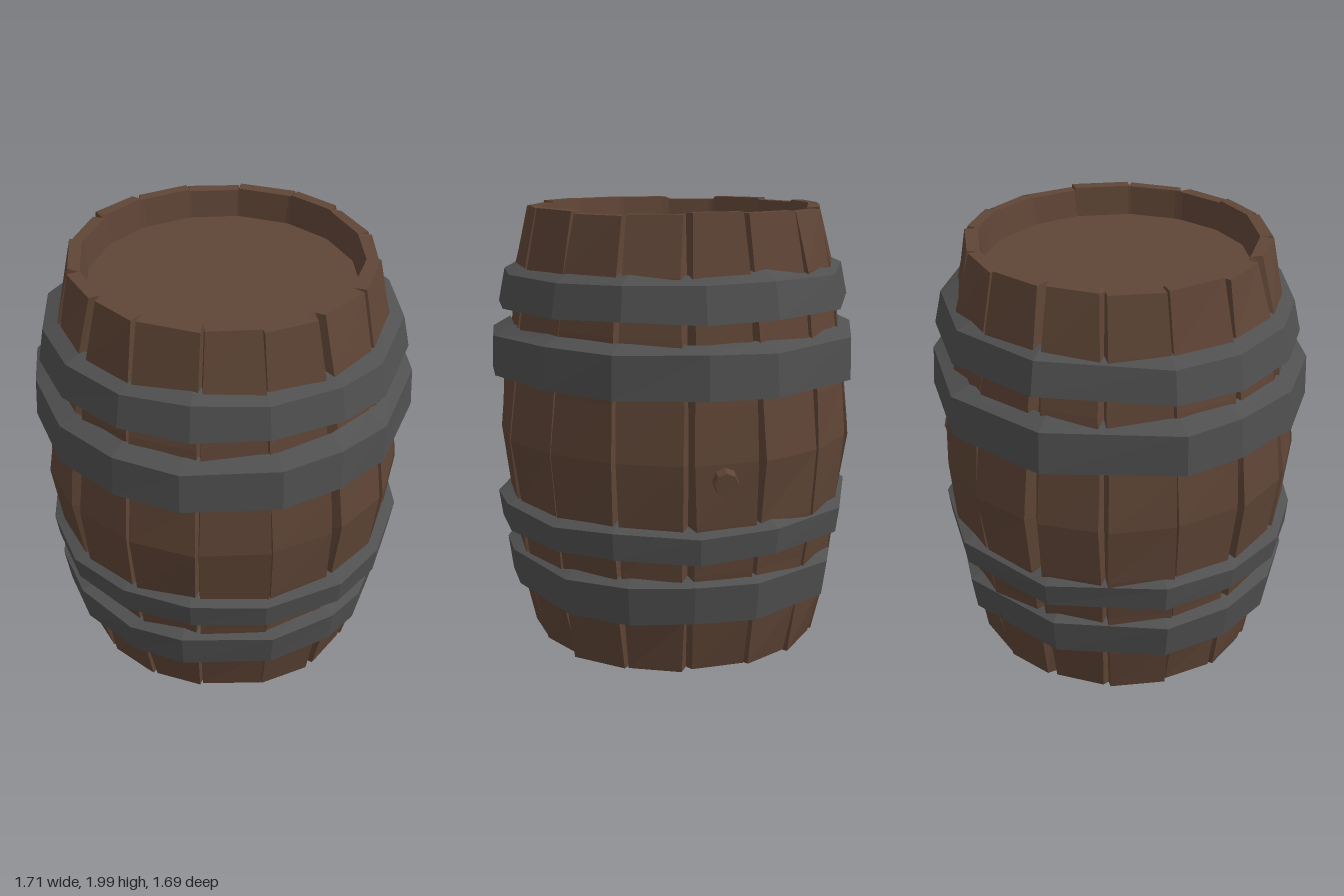
import * as THREE from 'three';

// Seeded noise in the range -1..1
let seed = 11;
const jitter = () => {
  seed = (seed * 16807) % 2147483647;
  return (seed / 2147483647) * 2 - 1;
};

const point = (angle, r, y) => [Math.sin(angle) * r, y, Math.cos(angle) * r];

// Skin a list of closed rings with flat facets
function loft(rings) {
  const n = rings[0].length;
  const index = [];
  for (let i = 0; i < rings.length - 1; i++) {
    for (let j = 0; j < n; j++) {
      const k = (j + 1) % n;
      const a = i * n + j, b = i * n + k, c = a + n, d = b + n;
      index.push(a, b, d, a, d, c);
    }
  }
  const g = new THREE.BufferGeometry();
  g.setAttribute('position', new THREE.Float32BufferAttribute(rings.flat(2), 3));
  g.setIndex(index);
  const flat = g.toNonIndexed();
  flat.computeVertexNormals();
  return flat;
}

// Staves: one bulging shell with a V-shaped groove between neighbouring boards
function staveGeometry() {
  const count = 16;
  const step = (Math.PI * 2) / count;
  const profile = [
    // radius, height, groove depth
    [0.595, 0.17, 0], [0.605, 0.015, 0],
    [0.67, 0.012, 0.03], [0.722, 0.25, 0.04], [0.752, 0.48, 0.04], [0.785, 0.7, 0.04],
    [0.815, 0.98, 0.045], [0.79, 1.22, 0.04], [0.757, 1.5, 0.04], [0.722, 1.74, 0.04],
    [0.665, 1.99, 0.045],
    [0.61, 1.99, 0], [0.59, 1.85, 0],
  ];
  const joints = Array.from({ length: count }, (_, k) => ({
    gap: k % 4 === 0 ? 0.032 : 0.016 + 0.012 * jitter(),
    lean: 0.03 * jitter(),
  }));
  const lift = joints.map(() => 0.008 * jitter());
  return loft(profile.map(([r, y, depth]) => {
    const ring = [];
    for (let k = 0; k < count; k++) {
      const left = joints[k], right = joints[(k + 1) % count];
      const lean = (j) => j.lean * (y - 1);
      const rough = depth ? 0.009 : 0;
      const end = y > 1.95 || y < 0.1 ? lift[k] : 0;
      const a0 = k * step + lean(left);
      const a1 = (k + 1) * step + lean(right);
      ring.push(point(a0, r - depth, y + end));
      ring.push(point(a0 + left.gap * (1 + 0.4 * jitter()), r + rough * jitter(), y + end));
      ring.push(point(a1 - right.gap * (1 + 0.4 * jitter()), r + rough * jitter(), y + end));
    }
    return ring;
  }));
}

// Hoops: hand-forged bands with uneven corners, angles in degrees from the front
const corners = [0, 19, 48, 69, 93, 115, 149, 184, 224, 245, 268, 290, 311, 337];
function hoopGeometry({ bottom, top, rBottom, rTop }) {
  const profile = [
    [rBottom - 0.1, bottom + 0.015],
    [rBottom, bottom + 0.025],
    [rTop, top - 0.035],
    [rTop - 0.085, top],
  ];
  const wobble = corners.map(() => ({ a: 0.05 * jitter(), r: 0.008 * jitter(), y: 0.012 * jitter() }));
  return loft(profile.map(([r, y]) => corners.map((deg, i) => {
    const w = wobble[i];
    return point(THREE.MathUtils.degToRad(deg) + w.a, r + w.r + 0.004 * jitter(), y + w.y + 0.006 * jitter());
  })));
}

export function createModel() {
  seed = 11;
  const wood = new THREE.MeshStandardMaterial({ color: 0x5f4536 });
  wood.name = 'brown wood';
  const iron = new THREE.MeshStandardMaterial({ color: 0x505050 });
  iron.name = 'dark iron';
  for (const m of [wood, iron]) m.flatShading = true;

  const barrel = new THREE.Group();
  barrel.name = 'barrel';
  const add = (name, geometry, material) => {
    const mesh = new THREE.Mesh(geometry, material);
    mesh.name = name;
    barrel.add(mesh);
    return mesh;
  };

  add('staves', staveGeometry(), wood);

  // Recessed end boards
  add('topLid', new THREE.CylinderGeometry(0.6, 0.6, 0.04, 16), wood).position.y = 1.84;
  add('bottomLid', new THREE.CylinderGeometry(0.6, 0.6, 0.04, 16), wood).position.y = 0.18;

  // Four iron bands
  const hoops = [
    { bottom: 0.24, top: 0.47, rBottom: 0.775, rTop: 0.8 },
    { bottom: 0.53, top: 0.71, rBottom: 0.815, rTop: 0.83 },
    { bottom: 1.23, top: 1.475, rBottom: 0.855, rTop: 0.845 },
    { bottom: 1.545, top: 1.755, rBottom: 0.815, rTop: 0.785 },
  ];
  hoops.forEach((h, i) => add('hoop' + (i + 1), hoopGeometry(h), iron));

  // Bung plugging the hole on the side
  const bung = add('bung', new THREE.CylinderGeometry(0.05, 0.06, 0.14, 8), wood);
  bung.rotation.z = -Math.PI / 2;
  bung.position.set(0.785, 0.91, -0.15);

  return barrel;
}
